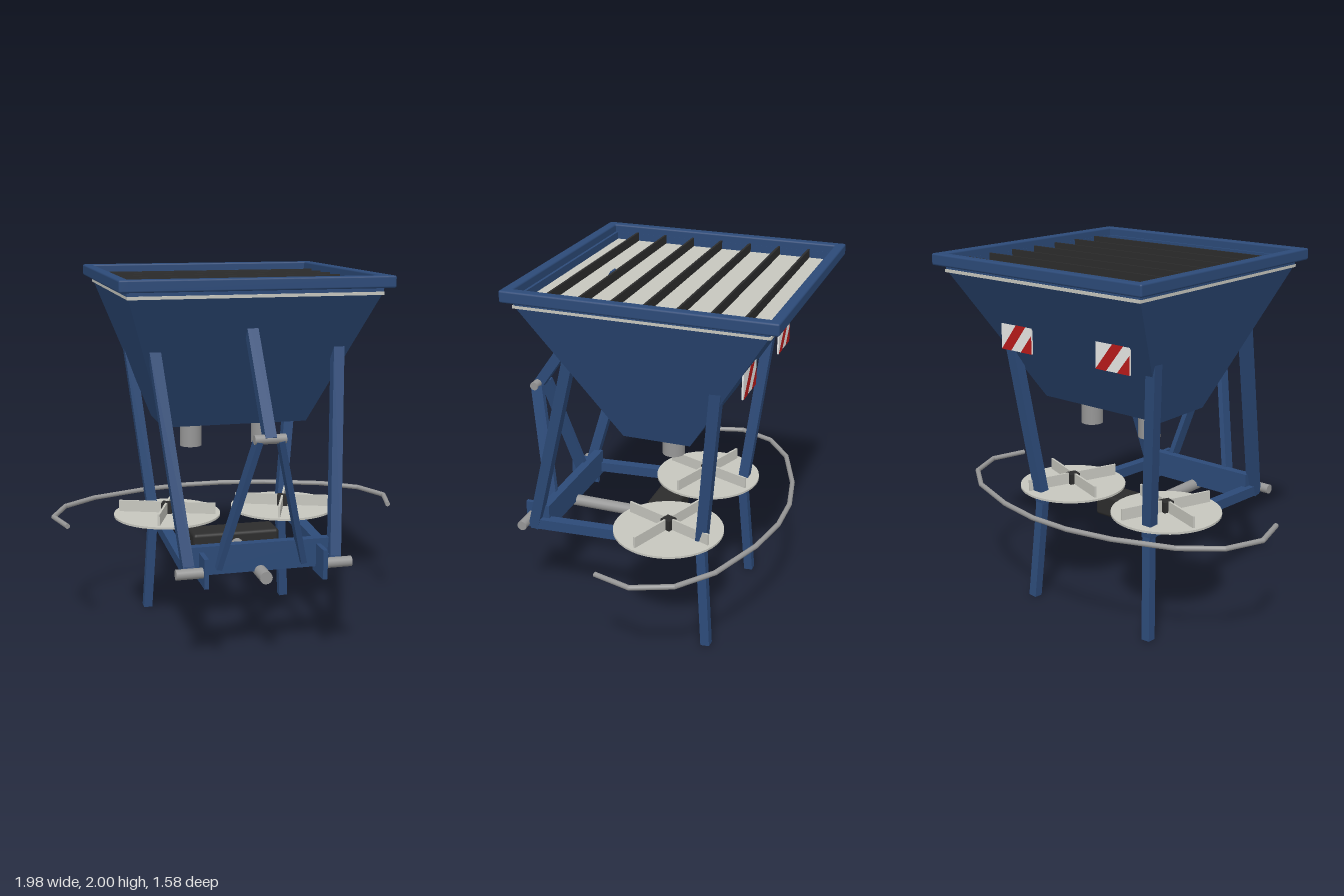
import * as THREE from 'three';
import { RoundedBoxGeometry } from 'three/addons/geometries/RoundedBoxGeometry.js';

const mat = (name, color) => new THREE.MeshStandardMaterial({ name, color });
const V = (x, y, z) => new THREE.Vector3(x, y, z);

export function createModel() {
  const model = new THREE.Group();
  model.name = 'twinDiscSpreader';
  const blue = mat('frameBlue', 0x2c4a78);
  const steel = mat('steelGrey', 0x969696);
  const pale = mat('paleGrey', 0xc6c6be);
  const dark = mat('darkGrey', 0x2c2c2c);
  const white = mat('signWhite', 0xe8e8e6);
  const red = mat('signRed', 0xb81a1a);

  const add = (name, geometry, material, x = 0, y = 0, z = 0, parent = model) => {
    const m = new THREE.Mesh(geometry, material);
    m.name = name;
    m.position.set(x, y, z);
    parent.add(m);
    return m;
  };
  const box = (name, w, h, d, material, x, y, z, parent) =>
    add(name, new THREE.BoxGeometry(w, h, d), material, x, y, z, parent);

  // Square tube between two points; width runs along x
  const beam = (name, a, b, width = 0.058, depth = 0.058) => {
    const mid = a.clone().add(b).multiplyScalar(0.5);
    const m = box(name, depth, width, a.distanceTo(b), blue, mid.x, mid.y, mid.z);
    m.up.set(1, 0, 0);
    m.lookAt(b);
  };
  // Round bar between two points
  const rod = (name, a, b, r, sides = 20) => {
    const mid = a.clone().add(b).multiplyScalar(0.5);
    const m = add(name, new THREE.CylinderGeometry(r, r, a.distanceTo(b), sides), steel, mid.x, mid.y, mid.z);
    m.quaternion.setFromUnitVectors(V(0, 1, 0), b.clone().sub(a).normalize());
  };

  const cz = -0.09; // hopper centre

  // Hopper: a box tapered towards the bottom
  const hopper = new THREE.BoxGeometry(2, 0.72, 2);
  const p = hopper.attributes.position;
  for (let i = 0; i < p.count; i++) {
    const top = p.getY(i) > 0;
    p.setX(i, p.getX(i) * (top ? 0.645 : 0.4));
    p.setZ(i, p.getZ(i) * (top ? 0.635 : 0.183));
  }
  hopper.computeVertexNormals();
  add('hopper', hopper, blue, 0, 1.54, cz);

  // Load surface, collar and rim
  box('loadSurface', 1.306, 0.016, 1.3, pale, 0, 1.909, cz);
  for (const s of [-1, 1]) {
    box('collarEnd', 1.3, 0.04, 0.015, blue, 0, 1.937, cz + s * 0.637);
    box('collarSide', 0.01, 0.04, 1.28, blue, s * 0.65, 1.937, cz);
    add('rimEnd', new RoundedBoxGeometry(1.4, 0.062, 0.054, 2, 0.01), blue, 0, 1.969, cz + s * 0.671);
    add('rimSide', new RoundedBoxGeometry(0.054, 0.062, 1.396, 2, 0.01), blue, s * 0.673, 1.969, cz);
  }
  // Sieve blades
  for (let i = -3; i <= 3; i++) {
    box('sieveBlade', 1.29, 0.05, 0.012, dark, 0, 1.94, cz + i * 0.168);
  }

  // Frame and left/right pairs
  for (const s of [-1, 1]) {
    beam('frontLeg', V(s * 0.383, 0.53, 0.645), V(s * 0.49, 1.65, 0.333));
    beam('rearUpperLeg', V(s * 0.385, 0.57, -0.335), V(s * 0.495, 1.56, -0.44));
    beam('rearLowerLeg', V(s * 0.42, 0.004, -0.385), V(s * 0.385, 0.61, -0.337), 0.05, 0.05);
    beam('sideRail', V(s * 0.383, 0.553, 0.66), V(s * 0.385, 0.603, -0.36));
    beam('linkStrut', V(s * 0.055, 1.23, 0.755), V(s * 0.225, 0.55, 0.605), 0.03, 0.07);
    box('hitchPlate', 0.024, 0.155, 0.17, blue, s * 0.31, 0.557, 0.642);
    rod('hitchPin', V(s * 0.3, 0.555, 0.69), V(s * 0.46, 0.555, 0.69), 0.027);
    add('outlet', new THREE.CylinderGeometry(0.06, 0.06, 0.17, 28), steel, s * 0.205, 1.115, -0.115);
  }
  box('crossBeam', 0.76, 0.15, 0.05, blue, 0, 0.587, 0.582);
  beam('topBrace', V(0, 1.23, 0.765), V(0, 1.92, 0.28));
  rod('topPin', V(-0.08, 1.235, 0.765), V(0.08, 1.235, 0.765), 0.024);

  // Drive
  add('gearbox', new RoundedBoxGeometry(0.49, 0.13, 0.176, 3, 0.02), dark, 0, 0.514, 0.036);
  rod('driveShaft', V(0, 0.51, 0.1), V(0, 0.51, 0.72), 0.033);

  // Spinning discs with four vanes each
  for (const s of [-1, 1]) {
    const disc = new THREE.Group();
    disc.name = 'spinner';
    disc.position.set(s * 0.34, 0, -0.135);
    disc.rotation.y = -0.36;
    model.add(disc);
    add('disc', new THREE.CylinderGeometry(0.3, 0.3, 0.012, 40), pale, 0, 0.637, 0, disc);
    box('hub', 0.06, 0.1, 0.06, dark, 0, 0.652, 0, disc);
    for (let i = 0; i < 4; i++) {
      const vane = new THREE.Group();
      vane.name = 'vane';
      vane.rotation.y = i * Math.PI / 2;
      disc.add(vane);
      box('vanePlate', 0.245, 0.066, 0.012, pale, 0.1525, 0.674, 0, vane);
    }
  }

  // Guard rail bent around the discs
  const half = [[0.92, 0.045], [0.975, -0.16], [0.89, -0.365], [0.7, -0.515], [0.38, -0.635], [0.12, -0.685]];
  const path = [...half, ...half.map(([x, z]) => [-x, z]).reverse()].map(([x, z]) => V(x, 0.654, z));
  for (let i = 1; i < path.length; i++) {
    rod('guardRail', path[i - 1], path[i], 0.014, 10);
    if (i < path.length - 1) {
      add('guardRailBend', new THREE.SphereGeometry(0.014, 10, 8), steel, path[i].x, path[i].y, path[i].z);
    }
  }

  // Striped warning signs on the back
  const stripes = [
    [[-0.11, -0.07], [-0.04, -0.07], [0.07, 0.07], [0, 0.07]],
    [[0.03, -0.07], [0.11, -0.07], [0.11, 0.03]],
  ];
  for (const s of [-1, 1]) {
    box('warningSign', 0.22, 0.14, 0.009, white, s * 0.33, 1.565, -0.553);
    for (const pts of stripes) {
      const shape = new THREE.Shape(pts.map(([u, v]) => new THREE.Vector2(u, v)));
      add('signStripe', new THREE.ShapeGeometry(shape), red, s * 0.33, 1.565, -0.5595).rotation.y = Math.PI;
    }
  }
  return model;
}
